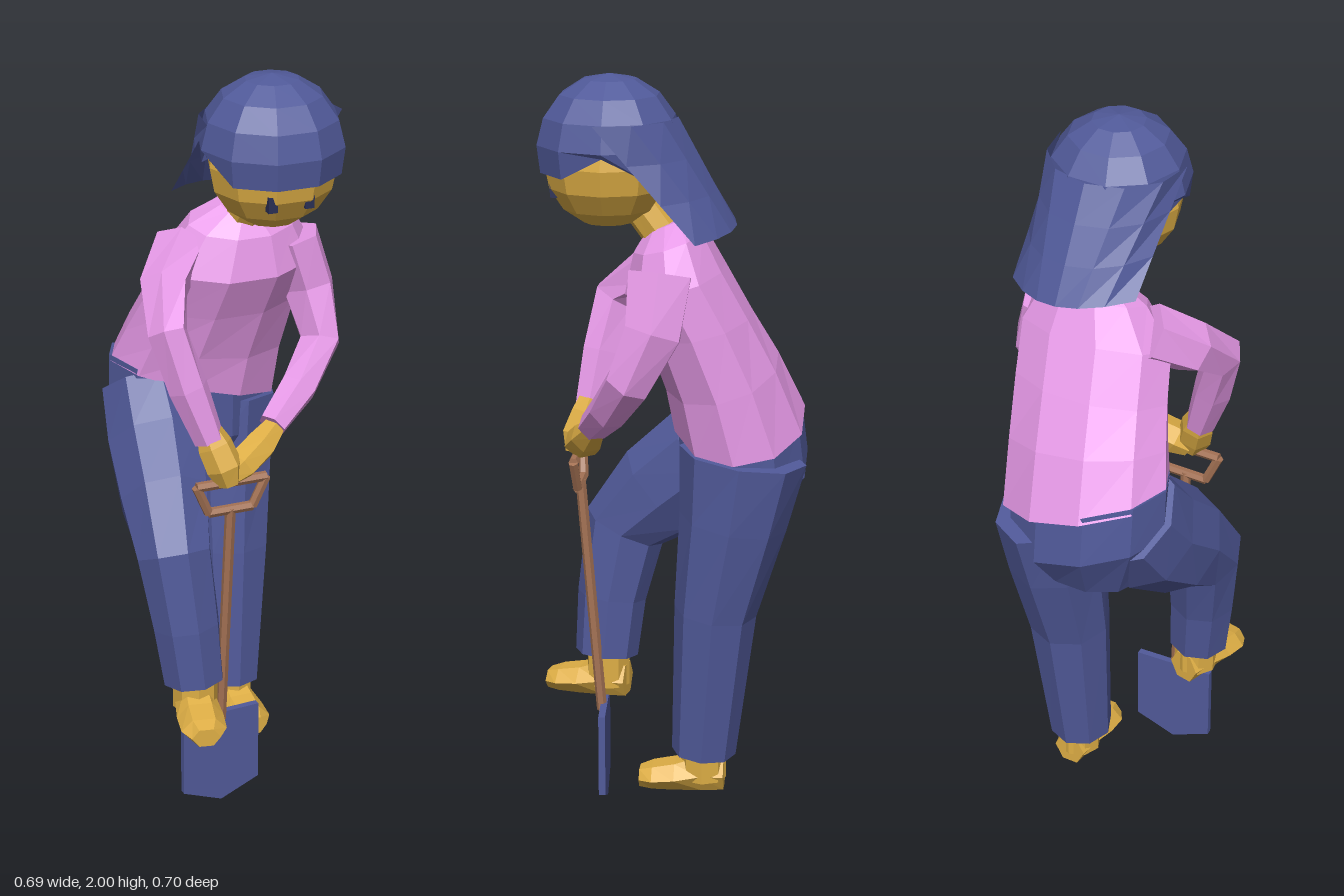
import * as THREE from 'three';

const mat = (color) => new THREE.MeshStandardMaterial({ color, flatShading: true, side: THREE.DoubleSide });
const UP = new THREE.Vector3(0, 1, 0);

// Closed skin over rings [x, y, z, halfWidth, halfDepth], listed from low to high.
// Rings stand square to the path unless a normal is given as a sixth entry.
function loft(rings, sides = 8) {
  const pos = [], index = [], n = rings.length;
  const at = (i) => new THREE.Vector3(...rings[Math.max(0, Math.min(n - 1, i))].slice(0, 3));
  rings.forEach(([x, y, z, w, d, normal], i) => {
    const dir = normal ? new THREE.Vector3(...normal) : at(i + 1).sub(at(i - 1));
    const q = new THREE.Quaternion().setFromUnitVectors(UP, dir.normalize());
    for (let s = 0; s < sides; s++) {
      const a = (s / sides) * Math.PI * 2;
      const v = new THREE.Vector3(w * Math.cos(a), 0, d * Math.sin(a)).applyQuaternion(q);
      pos.push(v.x + x, v.y + y, v.z + z);
    }
  });
  for (let i = 0; i < n - 1; i++) {
    for (let s = 0; s < sides; s++) {
      const a = i * sides + s, b = i * sides + (s + 1) % sides;
      index.push(a, a + sides, b, b, a + sides, b + sides);
    }
  }
  const low = pos.length / 3, top = (n - 1) * sides;
  pos.push(...rings[0].slice(0, 3), ...rings[n - 1].slice(0, 3));
  for (let s = 0; s < sides; s++) {
    const t = (s + 1) % sides;
    index.push(low, s, t, low + 1, top + t, top + s);
  }
  const g = new THREE.BufferGeometry();
  g.setAttribute('position', new THREE.Float32BufferAttribute(pos, 3));
  g.setIndex(index);
  g.computeVertexNormals();
  return g;
}

// Straight round bar between two points
function rod(a, b, r) {
  const p = new THREE.Vector3(...a), d = new THREE.Vector3(...b).sub(p);
  const g = new THREE.CylinderGeometry(r, r, d.length(), 6);
  g.applyQuaternion(new THREE.Quaternion().setFromUnitVectors(UP, d.clone().normalize()));
  return g.translate(...p.addScaledVector(d, 0.5).toArray());
}

export function createModel() {
  const model = new THREE.Group();
  const figure = new THREE.Group();
  figure.name = 'diggingFigure';
  figure.rotation.y = 0.96;
  model.add(figure);

  const blue = mat(0x515a9a), pink = mat(0xe699e7), skin = mat(0xdeae45);
  const wood = mat(0xa47254), dark = mat(0x2a2f55);
  const add = (name, geometry, material, parent = figure) => {
    const m = new THREE.Mesh(geometry, material);
    m.name = name;
    parent.add(m);
    return m;
  };

  // Trousers
  const slant = [0.28, 1, 0];
  add('pelvis', loft([
    [0, 0.86, -0.18, 0.145, 0.115, [0, 1, 0]],
    [0, 0.98, -0.195, 0.228, 0.17, slant],
    [0, 1.12, -0.185, 0.228, 0.162, slant],
  ], 10), blue);
  add('leftTrouserLeg', loft([
    [0.085, 0.2, -0.1, 0.085, 0.085],
    [0.098, 0.6, -0.13, 0.11, 0.108],
    [0.107, 0.85, -0.175, 0.125, 0.14],
    [0.115, 1.03, -0.2, 0.128, 0.165],
  ]), blue);
  add('rightTrouserLeg', loft([
    [-0.13, 0.39, 0.185, 0.082, 0.085],
    [-0.145, 0.55, 0.172, 0.09, 0.093],
    [-0.165, 0.74, 0.138, 0.1, 0.112],
    [-0.15, 0.85, 0.03, 0.118, 0.145],
    [-0.125, 0.96, -0.1, 0.13, 0.155],
    [-0.12, 1.08, -0.19, 0.118, 0.145],
  ]), blue);

  // Feet, each lofted from heel to toe, with an ankle
  const foot = (name, x, y, z, turn) => {
    const g = new THREE.Group();
    g.name = name;
    g.position.set(x, y, z);
    g.rotation.y = turn;
    const f = [0, 0, 1];
    add('shoe', loft([
      [0, 0.045, -0.06, 0.045, 0.05, f],
      [0, 0.048, 0, 0.055, 0.055, f],
      [0, 0.036, 0.07, 0.062, 0.042, f],
      [0, 0.03, 0.13, 0.06, 0.035, f],
      [0, 0.025, 0.165, 0.038, 0.028, f],
    ], 6), skin, g);
    add('ankle', new THREE.CylinderGeometry(0.06, 0.06, 0.1, 8).translate(0, 0.08, -0.005), skin, g);
    figure.add(g);
  };
  foot('leftFoot', 0.092, 0.1, -0.095, 0);
  foot('rightFoot', -0.125, 0.275, 0.185, -0.2);

  // Shirt
  add('shirt', loft([
    [0.012, 1.1, -0.185, 0.24, 0.172, slant],
    [0.03, 1.23, -0.14, 0.224, 0.15, [0.15, 1, 0.2]],
    [0.052, 1.36, -0.082, 0.216, 0.138, [0, 1, 0.2]],
    [0.07, 1.48, -0.022, 0.212, 0.132, [0, 1, 0.25]],
    [0.08, 1.58, -0.008, 0.145, 0.095, [0, 1, 0.3]],
    [0.08, 1.625, -0.002, 0.06, 0.055, [0, 1, 0.4]],
  ], 10), pink);

  // Sleeves, from wrist to shoulder
  add('rightSleeve', loft([
    [-0.1, 1.09, 0.222, 0.04, 0.042],
    [-0.147, 1.23, 0.197, 0.052, 0.052],
    [-0.188, 1.37, 0.165, 0.052, 0.06],
    [-0.158, 1.45, 0.06, 0.065, 0.07],
    [-0.08, 1.52, -0.03, 0.068, 0.08],
  ], 6), pink);
  add('leftSleeve', loft([
    [0.085, 1.085, 0.19, 0.038, 0.042],
    [0.18, 1.155, 0.138, 0.05, 0.052],
    [0.265, 1.25, 0.078, 0.055, 0.062],
    [0.258, 1.38, 0.015, 0.068, 0.08],
    [0.218, 1.52, 0.0, 0.068, 0.09],
  ], 6), pink);

  // Hands, from fingertips to wrist
  add('rightHand', loft([
    [-0.06, 0.975, 0.255, 0.03, 0.03],
    [-0.07, 1.02, 0.25, 0.048, 0.045],
    [-0.088, 1.075, 0.23, 0.046, 0.042],
    [-0.104, 1.125, 0.215, 0.03, 0.03],
  ], 6), skin);
  add('leftHand', loft([
    [-0.06, 0.985, 0.245, 0.025, 0.03],
    [-0.02, 1.01, 0.235, 0.042, 0.048],
    [0.045, 1.045, 0.21, 0.042, 0.046],
    [0.1, 1.085, 0.185, 0.028, 0.03],
  ], 6), skin);

  // Neck and head
  add('neck', loft([
    [0.08, 1.57, -0.01, 0.055, 0.052],
    [0.085, 1.72, 0.1, 0.05, 0.05],
  ]), skin);
  const head = new THREE.Group();
  head.name = 'head';
  head.position.set(0.097, 1.815, 0.14);
  figure.add(head);
  const face = new THREE.SphereGeometry(0.165, 10, 8);
  face.scale(1, 1, 0.98).translate(0, -0.035, 0.005);
  add('face', face, skin, head);
  for (const x of [-0.055, 0.042]) {
    add('eye', new THREE.BoxGeometry(0.024, 0.04, 0.02).translate(x, -0.1, 0.135), dark, head);
  }

  // Hair cap, its rim lifted at the temples
  const cap = new THREE.SphereGeometry(0.186, 10, 5, 0, Math.PI * 2, 0, Math.PI * 0.6);
  const p = cap.attributes.position;
  for (let i = 0; i < p.count; i++) {
    if (p.getY(i) < -0.03 && Math.abs(p.getZ(i)) < 0.06) p.setY(i, 0);
  }
  add('hairCap', cap, blue, head);

  // Long hair: a curved sheet falling back from the crown
  const fall = new THREE.PlaneGeometry(1, 1, 6, 3);
  const h = fall.attributes.position;
  for (let i = 0; i < h.count; i++) {
    const u = -h.getX(i) * 2, t = 0.5 - h.getY(i), a = u * 1.7;
    const x = THREE.MathUtils.lerp(0.18 * Math.sin(a), 0.175 * u, t);
    const z = THREE.MathUtils.lerp(-0.172 * Math.cos(a), -0.32 + 0.09 * u * u, t);
    h.setXYZ(i, x, THREE.MathUtils.lerp(0.08, -0.19 - 0.02 * u, t), z);
  }
  add('longHair', fall, blue, head);

  // Spade
  const spade = new THREE.Group();
  spade.name = 'spade';
  figure.add(spade);
  const outline = new THREE.Shape([[-0.11, 0.27], [-0.11, 0.045], [0, 0], [0.11, 0.045], [0.11, 0.27]]
    .map(([x, y]) => new THREE.Vector2(x, y)));
  const blade = new THREE.ExtrudeGeometry(outline, { depth: 0.018, bevelEnabled: false });
  add('blade', blade.translate(0, 0, -0.009).rotateY(0.06).translate(-0.055, 0, 0.184), blue, spade);
  add('shaft', rod([-0.055, 0.25, 0.19], [-0.05, 0.9, 0.242], 0.014), wood, spade);
  const grip = [[-0.11, 0.895, 0.242], [-0.145, 0.975, 0.248], [0.045, 0.975, 0.248], [0.01, 0.895, 0.242]];
  grip.forEach((a, i) => add('grip', rod(a, grip[(i + 1) % 4], 0.013), wood, spade));

  return model;
}
